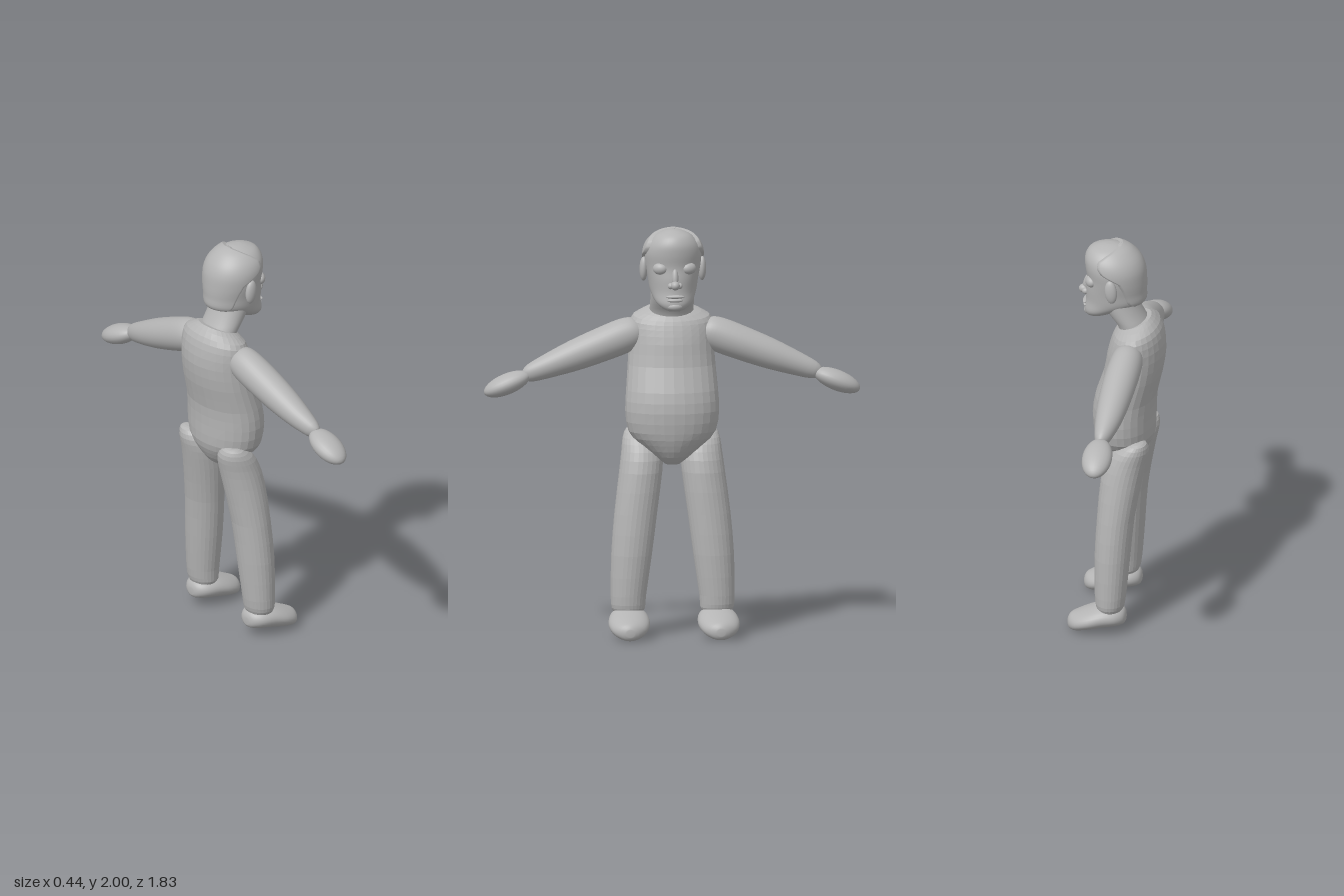
import * as THREE from 'three';

const gray = new THREE.MeshStandardMaterial({ color: 0xb4b4b4 });
gray.name = 'plain gray';

// Smoothly subdivide rings [height, xMin, xMax, zCentre, zHalf]
function refine(rings, n) {
  const out = [];
  const cr = (a, b, c, d, t) => b + 0.5 * t * (c - a + t * (2 * a - 5 * b + 4 * c - d + t * (3 * (b - c) + d - a)));
  for (let i = 0; i < rings.length - 1; i++) {
    const p = rings[Math.max(i - 1, 0)], q = rings[i], r = rings[i + 1], s = rings[Math.min(i + 2, rings.length - 1)];
    for (let k = 0; k < n; k++) out.push(q.map((v, c) => cr(p[c], v, r[c], s[c], k / n)));
  }
  out.push(rings[rings.length - 1]);
  return out;
}

// Closed surface through elliptical rings, bottom to top
function loft(rings, seg = 32, faceted = false, slope = () => 0) {
  const pos = [], idx = [], n = rings.length;
  for (const [y, x0, x1, cz, hz] of rings) {
    for (let j = 0; j < seg; j++) {
      const a = (j / seg) * Math.PI * 2;
      const x = (x0 + x1) / 2 + ((x1 - x0) / 2) * Math.cos(a);
      pos.push(x, y + slope(y) * Math.cos(a), cz + hz * Math.sin(a));
    }
  }
  for (let i = 0; i < n - 1; i++) {
    for (let j = 0; j < seg; j++) {
      const k = (j + 1) % seg, a = i * seg + j, b = i * seg + k;
      idx.push(a, a + seg, b, b, a + seg, b + seg);
    }
  }
  for (const end of [0, n - 1]) {
    const [y, x0, x1, cz] = rings[end], c = pos.length / 3;
    pos.push((x0 + x1) / 2, y, cz);
    for (let j = 0; j < seg; j++) {
      const a = end * seg + j, b = end * seg + ((j + 1) % seg);
      idx.push(c, ...(end ? [b, a] : [a, b]));
    }
  }
  return finish(pos, idx, faceted);
}

function finish(pos, idx, faceted) {
  let g = new THREE.BufferGeometry();
  g.setAttribute('position', new THREE.Float32BufferAttribute(pos, 3));
  g.setIndex(idx);
  if (faceted) g = g.toNonIndexed();
  g.computeVertexNormals();
  return g;
}

// Hair shell over the back and sides of the skull, leaving brow and crown bare
function hairGeometry(skull) {
  const edge = [[1.69, -0.08], [1.72, -0.05], [1.8, -0.025], [1.84, -0.005], [1.865, 0.04], [1.885, 0.08],
    [1.91, 0.1], [1.94, 0.095], [1.965, 0.06], [1.985, 0.02], [1.993, 0.0]];
  const lookup = (table, y) => {
    let i = 0;
    while (i < table.length - 2 && table[i + 1][0] < y) i++;
    const t = (y - table[i][0]) / (table[i + 1][0] - table[i][0]);
    return table[i].map((v, c) => v + (table[i + 1][c] - v) * t);
  };
  const rows = 40, cols = 40, pos = [], idx = [];
  for (let i = 0; i <= rows; i++) {
    const y = 1.69 + 0.303 * Math.sin((i / rows) * Math.PI / 2);
    const [, x0, x1, , hz] = lookup(skull, y);
    const cx = (x0 + x1) / 2, rx = (x1 - x0) / 2;
    const start = Math.acos(THREE.MathUtils.clamp((lookup(edge, y)[1] - cx) / rx, -0.95, 0.95));
    for (let j = 0; j <= cols; j++) {
      const a = start + (2 * Math.PI - 2 * start) * (j / cols);
      const rim = i === 0 || i === rows || j === 0 || j === cols;
      const off = rim ? -0.006 : 0.013;
      pos.push(cx + (rx + off) * Math.cos(a), y + (rim ? 0 : 0.006 * (i / rows)), (hz + off) * Math.sin(a));
    }
  }
  for (let i = 0; i < rows; i++) {
    for (let j = 0; j < cols; j++) {
      const a = i * (cols + 1) + j, u = a + cols + 1;
      idx.push(a, u, a + 1, a + 1, u, u + 1);
    }
  }
  return finish(pos, idx, false);
}

export function createModel() {
  const model = new THREE.Group();
  model.name = 'standingMan';
  const add = (name, geometry, parent = model) => {
    const m = new THREE.Mesh(geometry, gray);
    m.name = name;
    parent.add(m);
    return m;
  };
  const ball = (name, parent, p, s) => {
    const m = add(name, new THREE.SphereGeometry(1, 24, 16), parent);
    m.position.set(...p);
    m.scale.set(...s);
    return m;
  };

  // Torso, with a collar that slopes down to the front
  const torso = [
    [0.84, -0.05, 0.03, 0, 0.035], [0.88, -0.11, 0.075, 0, 0.09], [0.94, -0.15, 0.105, 0, 0.16],
    [1.0, -0.17, 0.122, 0, 0.212], [1.1, -0.172, 0.132, 0, 0.228], [1.2, -0.178, 0.118, 0, 0.223],
    [1.32, -0.205, 0.078, 0, 0.213], [1.43, -0.22, 0.06, 0, 0.206], [1.51, -0.212, 0.042, 0, 0.204],
    [1.56, -0.19, 0.025, 0, 0.185], [1.595, -0.15, 0.0, 0, 0.11],
  ];
  add('torso', loft(refine(torso, 2), 28, true, (y) => -0.024 * THREE.MathUtils.smoothstep(y, 1.4, 1.59)));

  // Neck leaning forward
  add('neck', loft(refine([
    [1.52, -0.15, 0.0, 0, 0.1], [1.58, -0.143, 0.015, 0, 0.106], [1.64, -0.112, 0.06, 0, 0.106],
    [1.7, -0.085, 0.09, 0, 0.105], [1.76, -0.07, 0.09, 0, 0.1]], 3)));

  // Head and face
  const head = new THREE.Group();
  head.name = 'head';
  model.add(head);
  const skull = refine([
    [1.608, 0.1, 0.158, 0, 0.03], [1.622, 0.06, 0.172, 0, 0.06], [1.65, 0.0, 0.176, 0, 0.09],
    [1.7, -0.105, 0.168, 0, 0.112], [1.76, -0.115, 0.168, 0, 0.122], [1.82, -0.115, 0.163, 0, 0.133],
    [1.88, -0.108, 0.172, 0, 0.137], [1.93, -0.085, 0.172, 0, 0.122], [1.97, -0.045, 0.15, 0, 0.087],
    [1.99, -0.005, 0.105, 0, 0.045], [1.997, 0.03, 0.07, 0, 0.015]], 4);
  add('skull', loft(skull, 40), head);
  add('hair', hairGeometry(skull), head).material = gray;
  ball('noseBridge', head, [0.165, 1.775, 0], [0.018, 0.045, 0.016]).rotation.z = 0.25;
  ball('noseTip', head, [0.18, 1.738, 0], [0.026, 0.022, 0.022]);
  ball('upperLip', head, [0.17, 1.682, 0], [0.014, 0.009, 0.045]);
  ball('lowerLip', head, [0.168, 1.664, 0], [0.014, 0.01, 0.038]);
  ball('chin', head, [0.155, 1.632, 0], [0.025, 0.022, 0.04]);
  for (const s of [1, -1]) {
    ball('nostril', head, [0.168, 1.735, s * 0.022], [0.018, 0.015, 0.014]);
    ball('eye', head, [0.134, 1.815, s * 0.07], [0.026, 0.029, 0.037]).rotation.y = -s * 0.45;
    ball('ear', head, [0.022, 1.8, s * 0.142], [0.03, 0.06, 0.02]).rotation.z = -0.1;
  }

  for (const s of [1, -1]) {
    const side = s > 0 ? 'right' : 'left';

    // Legs, spreading slightly towards the ankle
    add(side + 'Leg', loft(refine([
      [0.12, -0.045, 0.07, s * 0.215, 0.068], [0.14, -0.056, 0.08, s * 0.215, 0.081],
      [0.2, -0.066, 0.086, s * 0.215, 0.086], [0.4, -0.083, 0.09, s * 0.199, 0.099],
      [0.6, -0.1, 0.082, s * 0.178, 0.104], [0.8, -0.134, 0.068, s * 0.152, 0.105],
      [0.9, -0.154, 0.04, s * 0.143, 0.101], [0.96, -0.165, 0.0, s * 0.148, 0.088],
      [1.0, -0.155, -0.06, s * 0.16, 0.058], [1.01, -0.13, -0.1, s * 0.17, 0.02]], 2), 28, true));

    // Feet, lofted from heel to toe
    add(side + 'Foot', loft(refine([
      [-0.066, -0.1, -0.065, s * 0.213, 0.02], [-0.055, -0.125, -0.05, s * 0.213, 0.05],
      [-0.02, -0.143, -0.04, s * 0.214, 0.08], [0.04, -0.148, -0.03, s * 0.215, 0.096],
      [0.11, -0.125, -0.016, s * 0.218, 0.1], [0.17, -0.1, -0.004, s * 0.22, 0.082],
      [0.205, -0.083, -0.006, s * 0.22, 0.05], [0.218, -0.06, -0.025, s * 0.22, 0.02]], 3)))
      .rotation.z = -Math.PI / 2;

    // Arms, reaching outwards and down
    const arm = add(side + 'Arm', loft(refine([
      [-0.05, -0.11, -0.02, 0, 0.035], [-0.02, -0.138, 0.0, 0, 0.07], [0.04, -0.147, 0.012, 0, 0.084],
      [0.15, -0.142, 0.022, 0, 0.083], [0.3, -0.127, 0.024, 0, 0.075], [0.43, -0.105, 0.016, 0, 0.06],
      [0.53, -0.075, 0.002, 0, 0.044], [0.565, -0.05, -0.015, 0, 0.025]], 3)));
    arm.position.set(0, 1.475, s * 0.19);
    arm.rotation.x = s * 1.934;

    // Mitten hands
    const hand = ball(side + 'Hand', model, [-0.032, 1.235, s * 0.8], [0.073, 0.12, 0.05]);
    hand.rotation.x = s * 1.96;
  }
  return model;
}
